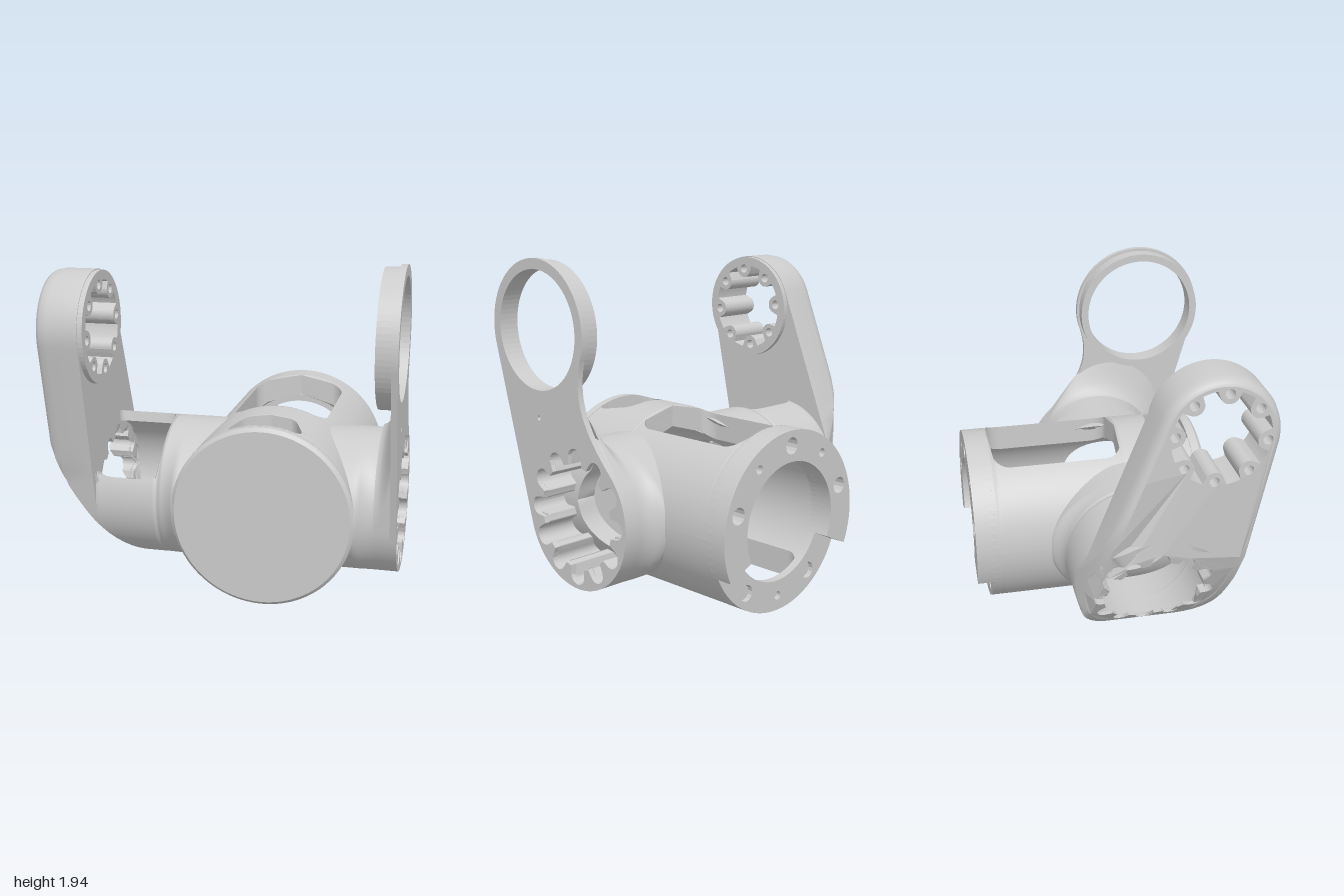
import * as THREE from 'three';
import { toCreasedNormals } from 'three/addons/utils/BufferGeometryUtils.js';

const grey = new THREE.MeshStandardMaterial({ color: 0xcccccc, side: THREE.DoubleSide });
const PI = Math.PI, rad = (d) => d * PI / 180;

// Main circles, drawn in the side plane (h = world z, y = world y)
const HUB = { h: 0.11, y: 0.53, r: 0.42 };
const ARM_TOP = { h: 0.41, y: 1.54, r: 0.33 };
const RING = { h: 0.42, y: 1.55, r: 0.4, inner: 0.34 };
const BARREL = { x: 0.25, y: 0.53, r: 0.525, inner: 0.4 };

// Half width of a slot from a to b with rounded corners
function slot(t, a, b, w, c) {
  const k = Math.min(t - a, b - t);
  if (k < 0) return 0;
  return k < c ? w - c + Math.sqrt(c * c - (c - k) ** 2) : w;
}

// Radius of a hole widened by bolt lobes, or narrowed by bolt bosses (sign -1)
function scalloped(base, lobes, sign = 1) {
  return (a) => {
    let r = base;
    for (const { at, d, c } of lobes) {
      const s = d * Math.sin(a - at), k = d * Math.cos(a - at);
      if (k <= 0 || Math.abs(s) > c) continue;
      const edge = k + sign * Math.sqrt(c * c - s * s);
      r = sign > 0 ? Math.max(r, edge) : Math.min(r, edge);
    }
    return r;
  };
}
const boltRing = (n, start, d, c) => Array.from({ length: n }, (_, i) => (
  { at: rad(start) + i * 2 * PI / n, d, c: Array.isArray(c) ? c[i % c.length] : c }));

const hubHole = scalloped(0.3, boltRing(12, 30, 0.335, [0.06, 0.055]));
const elbowHole = scalloped(0.28, boltRing(12, 30, 0.295, [0.05, 0.045]));
const armHole = scalloped(0.27, boltRing(8, 38, 0.25, 0.055), -1);
const armBolts = boltRing(8, 38, 0.25, 0.028);

function polarPath(c, fn, n = 192) {
  const pts = [];
  for (let i = 0; i < n; i++) {
    const a = i * 2 * PI / n, r = fn(a);
    pts.push(new THREE.Vector2(c.h + r * Math.cos(a), c.y + r * Math.sin(a)));
  }
  return new THREE.Path(pts);
}
function drill(shape, c, bolts) {
  for (const b of bolts) {
    const p = { h: c.h + b.d * Math.cos(b.at), y: c.y + b.d * Math.sin(b.at) };
    shape.holes.push(polarPath(p, () => b.c, 14));
  }
}
const disc = (c, r) => new THREE.Shape(polarPath(c, () => r, 72).getPoints());

// Outline around two circles, second one on top
function hull(c1, c2, inset = 0) {
  const a = Math.atan2(c2.y - c1.y, c2.h - c1.h);
  const b = Math.acos((c1.r - c2.r) / Math.hypot(c2.h - c1.h, c2.y - c1.y));
  const pts = [];
  const arc = (c, a0, a1) => {
    for (let i = 0; i <= 28; i++) {
      const t = a0 + (a1 - a0) * i / 28;
      pts.push(new THREE.Vector2(c.h + (c.r - inset) * Math.cos(t), c.y + (c.r - inset) * Math.sin(t)));
    }
  };
  const side = (p, q) => { for (let i = 1; i < 12; i++) pts.push(p.clone().lerp(q, i / 12)); };
  arc(c2, a - b, a + b);
  const mark = pts.length;
  arc(c1, a + b, a + 2 * PI - b);
  const lower = pts.splice(mark);
  side(pts[mark - 1], lower[0]);
  pts.push(...lower);
  side(pts[pts.length - 1], pts[0]);
  return pts;
}

// Flat part standing in the side plane between x0 and x1
function plate(shape, x0, x1) {
  const g = new THREE.ExtrudeGeometry(shape, { depth: x1 - x0, bevelEnabled: false, curveSegments: 40 });
  return g.rotateY(-PI / 2).translate(x1, 0, 0);
}

// Skin through outlines placed along x
function loft(rows) {
  const n = rows[0].pts.length, pos = [], idx = [];
  for (const { x, pts } of rows) for (const p of pts) pos.push(x, p.y, p.x);
  for (let k = 0; k < rows.length - 1; k++) for (let i = 0; i < n; i++) {
    const a = k * n + i, b = k * n + (i + 1) % n;
    idx.push(a, a + n, b + n, a, b + n, b);
  }
  const g = new THREE.BufferGeometry();
  g.setAttribute('position', new THREE.Float32BufferAttribute(pos, 3));
  g.setIndex(idx);
  g.computeVertexNormals();
  return g;
}

function reshape(g, rule) {
  const p = g.attributes.position, v = new THREE.Vector3();
  for (let i = 0; i < p.count; i++) {
    rule(v.fromBufferAttribute(p, i));
    p.setXYZ(i, v.x, v.y, v.z);
  }
  g.computeVertexNormals();
  return g;
}

// Tube wall along z, split into sectors by windows (gaps) at given angles
function wall({ r, R, inner, outer, t0, t1, gaps, na, nt }) {
  return gaps.map((gap, i) => {
    const next = gaps[(i + 1) % gaps.length];
    const end = next.at + (i === gaps.length - 1 ? 2 * PI : 0);
    return reshape(new THREE.BoxGeometry(1, 1, 1, na, nt, 1), (v) => {
      const t = t0 + (t1 - t0) * (v.y + 0.5), out = v.z > 0, base = out ? R : r;
      const lo = gap.at + gap.half(t, base), hi = end - next.half(t, base);
      const a = lo + (hi - lo) * (v.x + 0.5);
      const q = out ? (outer ? outer(a, t) : R) : (inner ? inner(a, t) : r);
      v.set(q * Math.cos(a), q * Math.sin(a), t);
    });
  });
}

// Rounded outer limit of the elbow, as the smallest x at a given height and depth
function elbowLimit(y, z) {
  const k = Math.min(1, Math.max(0, (0.9 - y) / 0.79));
  const below = -0.45 - 0.55 * (1 - k ** 1.4) ** (1 / 1.4);
  const back = -1 + 0.35 * (Math.max(0, -0.05 - z) / 0.26) ** 2.2;
  return Math.max(-1, below, back);
}
// Half width of the barrel at a height, where the side tubes end
const barrelReach = (y) => Math.sqrt(Math.max(0, 0.47 ** 2 - (y - BARREL.y) ** 2));

export function createModel() {
  const model = new THREE.Group();
  const add = (name, g, parent = model) => {
    const m = new THREE.Mesh(g, grey);
    m.name = name;
    parent.add(m);
  };

  // Barrel with upper and lower windows and side bores
  const barrel = new THREE.Group();
  barrel.name = 'barrel';
  barrel.position.set(BARREL.x, BARREL.y, 0);
  model.add(barrel);
  const window = (z, q) => Math.asin((slot(z, -0.67, 0.11, 0.28, 0.1)
    + slot(z, 0.32, 0.54, 0.14 + 0.4 * (z - 0.32), 0.06)) / q);
  const bore = (z, q) => Math.asin(Math.sqrt(Math.max(0, 0.26 ** 2 - (z - HUB.h) ** 2)) / q);
  wall({
    r: BARREL.inner, R: BARREL.r, t0: -0.7, t1: 0.56, na: 22, nt: 110,
    gaps: [0, 1, 2, 3].map((i) => ({ at: i * PI / 2, half: i % 2 ? window : bore })),
  }).forEach((g) => add('barrelWall', g, barrel));

  // Closed front cap
  const cap = [[0, 0.54], [0.525, 0.54], [0.525, 0.59], [0.505, 0.61], [0, 0.61]];
  const capGeo = new THREE.LatheGeometry(cap.map((p) => new THREE.Vector2(...p)), 72);
  add('frontCap', toCreasedNormals(capGeo.rotateX(PI / 2), 0.5), barrel);

  // Rear flange, with a raised upper part
  const O = { h: 0, y: 0 };
  const flangeBolts = boltRing(10, 18, 0.44, [0.048, 0.025]);
  const flange = disc(O, BARREL.r);
  flange.holes.push(polarPath(O, () => 0.35, 72));
  drill(flange, O, flangeBolts);
  const raised = new THREE.Shape();
  raised.absarc(0, 0, BARREL.r, rad(-24.8), rad(204.8), false);
  raised.absarc(0, 0, 0.35, rad(204.8), rad(-24.8), true);
  drill(raised, O, flangeBolts.slice(0, 5));
  for (const [name, s, z, depth] of [['rearFlange', flange, -0.73, 0.05], ['raisedFlange', raised, -0.82, 0.09]]) {
    const g = new THREE.ExtrudeGeometry(s, { depth, bevelEnabled: false, curveSegments: 64 });
    add(name, g.translate(0, 0, z), barrel);
  }

  // Side tubes, flared towards the barrel at front and back
  const flare = (near) => (a, t) => HUB.r
    + 0.07 * Math.min(1, Math.max(0, near(t))) ** 2 * Math.cos(a) ** 4;
  const noGap = { at: 0, half: () => 0 };
  const elbowWindow = { at: rad(60), half: (t) => slot(t, 0.38, 0.75, 0.7, 0.08) };
  const [elbow] = wall({
    r: 0.36, R: HUB.r, inner: (a, t) => (t > 0.76 ? elbowHole(a) : 0.36),
    outer: flare((t) => (0.38 - t) / 0.11),
    t0: 0, t1: 1, gaps: [elbowWindow], na: 190, nt: 56,
  });
  const [tube] = wall({
    r: 0.3, R: HUB.r, inner: hubHole, outer: flare((t) => (t + 0.88) / 0.11),
    t0: -0.97, t1: -0.3, gaps: [noGap], na: 190, nt: 30,
  });
  for (const g of [elbow, tube]) g.rotateY(-PI / 2).translate(0, HUB.y, HUB.h);
  add('elbowTube', reshape(elbow, (v) => {
    v.x = Math.max(Math.min(v.x, BARREL.x - barrelReach(v.y)), elbowLimit(v.y, v.z) + 0.008);
  }));
  add('plateTube', reshape(tube, (v) => { v.x = Math.max(v.x, BARREL.x + barrelReach(v.y)); }));

  // Thick arm: drilled core and rounded rim
  const core = new THREE.Shape(hull(HUB, ARM_TOP, 0.04));
  core.holes.push(polarPath(ARM_TOP, armHole), polarPath(HUB, elbowHole));
  drill(core, ARM_TOP, armBolts);
  const bend = (v) => {
    const inner = v.x > -0.76;
    v.x = Math.max(v.x, elbowLimit(v.y, v.z) + (inner ? 0.03 : 0));
  };
  add('armCore', reshape(plate(core, -1, -0.75), bend));
  const rim = [[0.04, -1], [0.022, -0.993], [0.008, -0.97], [0, -0.93], [0, -0.75], [0.04, -0.75]]
    .map(([inset, x]) => ({ x, pts: hull(HUB, ARM_TOP, inset) }));
  add('armRim', toCreasedNormals(reshape(loft(rim), bend), 0.7));

  // Bearing pad at the top of the arm
  const pad = disc(ARM_TOP, 0.325);
  pad.holes.push(polarPath(ARM_TOP, armHole));
  drill(pad, ARM_TOP, armBolts);
  add('armPad', plate(pad, -0.755, -0.72));

  // Thin side plate with a waisted back edge
  const side = new THREE.Shape();
  side.absarc(RING.h, RING.y, RING.r, rad(-17), rad(200), false);
  side.bezierCurveTo(0.1, 1.22, 0.05, 1.06, HUB.h + HUB.r * Math.cos(rad(135)), HUB.y + HUB.r * Math.sin(rad(135)));
  side.absarc(HUB.h, HUB.y, HUB.r, rad(135), rad(343), false);
  side.holes.push(polarPath(RING, () => RING.inner, 72), polarPath(HUB, hubHole));
  drill(side, { h: 0.42, y: 1.05 }, [{ at: 0, d: 0, c: 0.015 }]);
  add('sidePlate', plate(side, 0.965, 1));

  // Collar behind the plate's ring
  const collar = disc(RING, 0.385);
  collar.holes.push(polarPath(RING, () => RING.inner, 72));
  add('ringCollar', plate(collar, 0.88, 0.97));

  // Curved fairing from the side tube into the plate
  const fairing = [0, 0.2, 0.4, 0.6, 0.8, 1].map((k) => {
    const t = 0.03 + 0.3 * k * k;
    const top = { h: HUB.h + 0.4 * t, y: HUB.y + t, r: HUB.r - 0.27 * t };
    return { x: 0.87 + 0.1 * k, pts: hull(HUB, top) };
  });
  add('plateFairing', loft(fairing));

  return model;
}
